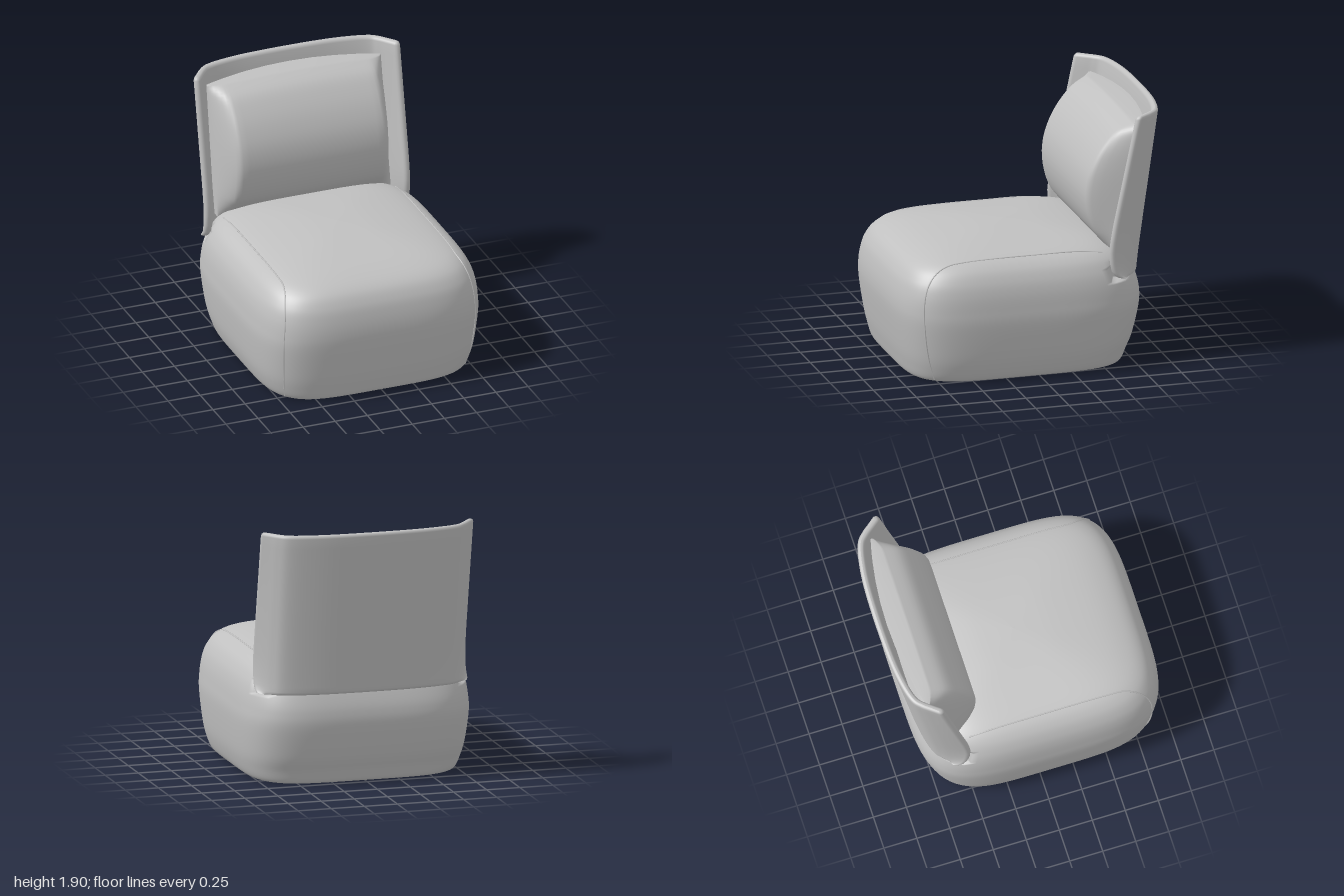
import * as THREE from 'three';

// Smooth surface through rows of [x, y, z] points; wrap joins the last column to the first
function loft(rows, wrap) {
  const n = rows[0].length, index = [];
  for (let r = 0; r < rows.length - 1; r++) {
    for (let c = 0; c < (wrap ? n : n - 1); c++) {
      const d = (c + 1) % n;
      const a = r * n + c, b = r * n + d, e = a + n, f = b + n;
      index.push(a, e, b, b, e, f);
    }
  }
  const g = new THREE.BufferGeometry();
  g.setAttribute('position', new THREE.Float32BufferAttribute(rows.flat(2), 3));
  g.setIndex(index);
  g.computeVertexNormals();
  return g;
}

const V2 = (x, y) => new THREE.Vector2(x, y);

// Seat outline by height: half width, y, front z, back z
const SEAT = [
  [0.74, 0, 0.88, -0.68], [0.785, 0.015, 0.915, -0.72], [0.82, 0.1, 0.94, -0.75],
  [0.845, 0.22, 0.965, -0.795], [0.865, 0.43, 0.995, -0.84], [0.86, 0.55, 1.0, -0.84],
  [0.845, 0.66, 0.985, -0.81], [0.815, 0.75, 0.955, -0.77], [0.76, 0.83, 0.895, -0.72],
  [0.67, 0.885, 0.79, -0.63], [0.5, 0.925, 0.62, -0.5], [0.25, 0.955, 0.33, -0.25],
  [0, 0.965, 0.04, 0.04],
];
const POWER = 4.5;

function seatRings(count) {
  const a = new THREE.SplineCurve(SEAT.map(s => V2(s[0], s[1])));
  const b = new THREE.SplineCurve(SEAT.map(s => V2(s[2], s[3])));
  return Array.from({ length: count + 1 }, (_, i) => {
    const p = a.getPoint(i / count), q = b.getPoint(i / count);
    return { hx: p.x, y: p.y, zc: (q.x + q.y) / 2, hz: (q.x - q.y) / 2 };
  });
}

// Rounded-square ring, pulled in where the backrest sits
function seatRow({ hx, y, zc, hz }) {
  return Array.from({ length: 160 }, (_, i) => {
    const t = (i / 160) * Math.PI * 2, c = Math.cos(t), s = Math.sin(t);
    const r = Math.pow(Math.abs(c) ** POWER + Math.abs(s) ** POWER, -1 / POWER);
    let x = hx * c * r;
    const z = zc + hz * s * r;
    if (y > 0.67 && z < -0.54) x = Math.sign(x) * Math.min(Math.abs(x), 0.71);
    return [x, y, z];
  });
}

// Seam running up the front corner and back along the top edge
function seamGeometry(side) {
  const rings = seatRings(600), pts = [];
  for (const [x, y] of [[0.7, 0.02], [0.73, 0.2], [0.745, 0.42], [0.735, 0.62], [0.715, 0.74], [0.69, 0.82]]) {
    const g = rings.find(r => r.y >= y);
    const z = g.zc + g.hz * Math.pow(1 - (x / g.hx) ** POWER, 1 / POWER);
    pts.push(new THREE.Vector3(side * x, y, z));
  }
  const down = [...rings].reverse();
  for (const z of [0.66, 0.55, 0.3, 0, -0.3, -0.5]) {
    const g = down.find(r => r.hx > 0.01 && (0.67 / r.hx) ** POWER + Math.abs((z - r.zc) / r.hz) ** POWER <= 1);
    pts.push(new THREE.Vector3(side * 0.67, g.y, z));
  }
  return new THREE.TubeGeometry(new THREE.CatmullRomCurve3(pts), 80, 0.006, 6);
}

// One horizontal section of the curved backrest: height, wing depth, half thickness
function shellRow([y, depth, h]) {
  const half = [[0.3, 0.034], [0.5, 0.06], [0.63, 0.1], [0.69, 0.16], [0.735, 0.24], [0.775, 0.33]];
  const k = (depth - 0.026) / 0.33;
  const back = -0.83 - 0.17 * (y - 0.68) / 1.22;
  const place = ([x, d]) => V2(x, back + d * (1 + (k - 1) * d / 0.33));
  const path = new THREE.SplineCurve([
    ...[...half].reverse().map(([x, d]) => place([-x, d])), place([0, 0.026]), ...half.map(place),
  ]);
  const outer = [], inner = [], N = 72;
  const cap = (p, n, t, s) => [1, 2, 3, 4, 5].map(i => {
    const a = i * Math.PI / 6, c = Math.cos(a) * h * s, e = Math.sin(a) * h * s;
    return [p.x + n.x * c + t.x * e, y, p.y + n.y * c + t.y * e];
  });
  let first, last;
  for (let i = 0; i <= N; i++) {
    const p = path.getPoint(i / N), t = path.getTangent(i / N), n = V2(t.y, -t.x);
    outer.push([p.x + n.x * h, y, p.y + n.y * h]);
    inner.unshift([p.x - n.x * h, y, p.y - n.y * h]);
    if (i === 0) first = cap(p, n, t, -1);
    if (i === N) last = cap(p, n, t, 1);
  }
  return [...outer, ...last, ...inner, ...first];
}

// Back cushion: bulging side profile that flattens toward both ends
function cushionGeometry() {
  const profile = new THREE.SplineCurve([
    [0.82, -0.61], [0.92, -0.52], [1.0, -0.465], [1.12, -0.425], [1.26, -0.41], [1.4, -0.43],
    [1.53, -0.485], [1.64, -0.56], [1.73, -0.65], [1.785, -0.77],
  ].map(p => V2(...p)));
  // half width, bulge amount, setback
  const ends = [[0.675, 0, 0.05], [0.675, 0, 0], [0.662, 0.16, 0], [0.64, 0.42, 0], [0.615, 0.67, 0],
    [0.59, 0.87, 0], [0.57, 0.96, 0], [0.545, 0.995, 0], [0.5, 1, 0]];
  const middle = [0.35, 0.18, 0, -0.18, -0.35].map(x => [x, 1, 0]);
  const cols = [...ends, ...middle, ...[...ends].reverse().map(([x, k, b]) => [-x, k, b])];
  const rows = [];
  for (let i = 0; i <= 40; i++) {
    const p = profile.getPoint(i / 40), base = -0.62 - 0.2 * (p.x - 0.88);
    rows.push(cols.map(([x, k, b]) => {
      const mid = 1 - (x / 0.675) ** 2;
      const lift = 0.025 * mid * Math.max(0, (p.x - 1.3) / 0.485);
      return [x, p.x + lift, base + k * (p.y - base) - b];
    }));
  }
  // Top edge carried back to the backrest
  rows.push(cols.map(([x, , b]) => {
    const mid = 1 - (x / 0.675) ** 2;
    return [x, 1.785 + 0.025 * mid, -0.82 - 0.09 * mid - b * 0.6];
  }));
  return loft(rows, false);
}

export function createModel() {
  const fabric = new THREE.MeshStandardMaterial({ color: 0xc0c0c0, side: THREE.DoubleSide });
  fabric.name = 'greyFabric';
  const model = new THREE.Group();
  model.name = 'loungeChair';
  const add = (name, geometry) => {
    const mesh = new THREE.Mesh(geometry, fabric);
    mesh.name = name;
    model.add(mesh);
  };

  // Seat block and its flat underside
  const rows = seatRings(96).map(seatRow);
  add('seat', loft(rows, true));
  add('seatUnderside', loft([rows[0].map(() => [0, 0, 0.1]), rows[0]], true));
  add('leftSeam', seamGeometry(1));
  add('rightSeam', seamGeometry(-1));

  // Curved backrest with short wings and rounded rims
  add('backrest', loft([
    [0.68, 0.2, 0], [0.682, 0.22, 0.013], [0.69, 0.245, 0.022], [0.705, 0.268, 0.026],
    [0.74, 0.297, 0.026], [0.8, 0.319, 0.026], [0.88, 0.335, 0.026], [0.96, 0.338, 0.026],
    [1.08, 0.334, 0.026], [1.2, 0.325, 0.026], [1.4, 0.31, 0.026], [1.6, 0.295, 0.026],
    [1.8, 0.281, 0.026], [1.875, 0.275, 0.026], [1.89, 0.273, 0.021], [1.898, 0.27, 0.012],
    [1.9, 0.265, 0],
  ].map(shellRow), true));

  add('backCushion', cushionGeometry());
  return model;
}
